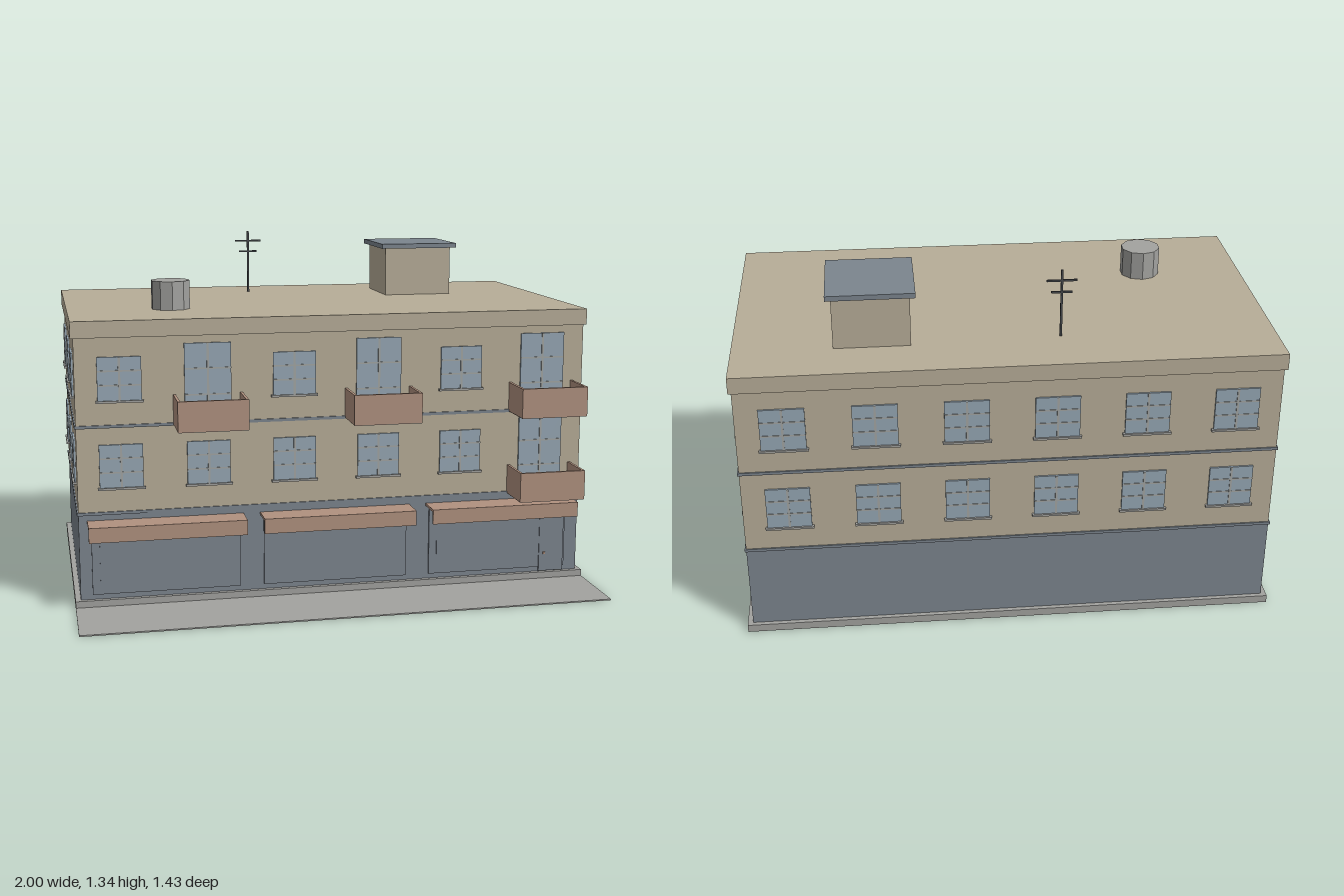
import * as THREE from 'three';

const mat = (name, color) => {
  const m = new THREE.MeshStandardMaterial({ color });
  m.name = name;
  return m;
};

export function createModel() {
  const wall = mat('sand plaster', 0xb7ad98);
  const slate = mat('slate blue', 0x7c858e);
  const concrete = mat('concrete', 0xa2a29f);
  const glass = mat('window glass', 0x96a7b4);
  const frame = mat('window frame', 0xa3a6a4);
  const brick = mat('terracotta', 0xb0917f);
  const metal = mat('dark metal', 0x45484c);

  const model = new THREE.Group();
  model.name = 'apartmentBuilding';

  // Box given by its lower and upper limits on each axis
  const box = (name, material, x0, x1, y0, y1, z0, z1, parent = model) => {
    const mesh = new THREE.Mesh(new THREE.BoxGeometry(x1 - x0, y1 - y0, z1 - z0), material);
    mesh.position.set((x0 + x1) / 2, (y0 + y1) / 2, (z0 + z1) / 2);
    mesh.name = name;
    parent.add(mesh);
    return mesh;
  };
  const group = (name, x = 0, y = 0, z = 0, turn = 0) => {
    const g = new THREE.Group();
    g.name = name;
    g.position.set(x, y, z);
    g.rotation.y = turn;
    model.add(g);
    return g;
  };

  // Main masses
  box('pavement', concrete, -1, 1, 0, 0.005, -0.715, 0.715);
  box('plinth', concrete, -1, 1, 0.005, 0.03, -0.715, 0.415);
  box('groundFloor', slate, -0.98, 0.98, 0.03, 0.355, -0.698, 0.398);
  box('upperFloors', wall, -0.98, 0.98, 0.355, 1.02, -0.698, 0.398);
  box('parapet', wall, -0.99, 0.99, 1.018, 1.08, -0.708, 0.406);
  for (const y of [0.355, 0.683])
    box('stringCourse', slate, -0.985, 0.985, y, y + 0.011, -0.703, 0.403);

  // Window or balcony door, standing on its base line and facing local +z
  const addWindow = (name, x, y, z, turn, w, h, sill) => {
    const g = group(name, x, y, z, turn);
    box('pane', glass, -w / 2, w / 2, 0, h, -0.002, 0.007, g);
    box('mullion', frame, -0.004, 0.004, 0, h, 0.007, 0.01, g);
    for (const t of [0.35, 0.68])
      box('glazingBar', frame, -w / 2, w / 2, h * t - 0.003, h * t + 0.003, 0.007, 0.009, g);
    if (sill) box('sill', concrete, -w / 2 - 0.007, w / 2 + 0.007, -0.008, 0, -0.002, 0.014, g);
  };

  // Upper storeys: front, back and both sides
  const columns = [-0.817, -0.491, -0.165, 0.161, 0.487, 0.813];
  const balconyColumns = [[5], [1, 3, 5]];
  [0.458, 0.785].forEach((y, floor) => {
    columns.forEach((x, i) => {
      if (balconyColumns[floor].includes(i)) {
        addWindow('balconyDoor', x, y - 0.092, 0.398, 0, 0.174, 0.297, false);
        addBalcony(x, y - 0.1);
      } else {
        addWindow('frontWindow', x, y, 0.398, 0, 0.162, 0.162, true);
      }
      addWindow('backWindow', x, y, -0.698, Math.PI, 0.162, 0.162, true);
    });
    for (const z of [0.213, -0.15, -0.515])
      for (const side of [-1, 1])
        addWindow('sideWindow', side * 0.98, y, z, side * Math.PI / 2, 0.146, 0.162, true);
  });

  // Open-topped balcony with solid parapets
  function addBalcony(x, y) {
    const g = group('balcony', x, y, 0.398);
    box('balconyFloor', concrete, -0.128, 0.128, 0, 0.012, 0, 0.157, g);
    box('balconyFront', brick, -0.13, 0.13, 0.002, 0.115, 0.147, 0.159, g);
    for (const s of [-1, 1])
      box('balconySide', brick, s * 0.125 - 0.005, s * 0.125 + 0.005, 0.002, 0.115, 0, 0.148, g);
  }
  box('balconyCrate', concrete, -0.445, -0.39, 0.697, 0.75, 0.422, 0.466);

  // Shopfronts with awnings
  for (const x of [-0.655, -0.005, 0.647]) {
    const g = group('shopfront', x, 0, 0.398);
    box('shopPanel', slate, -0.28, 0.28, 0.05, 0.31, 0, 0.008, g);
    box('shopWindow', slate, -0.25, 0.25, 0.1, 0.29, 0.008, 0.011, g);
    box('awningTop', brick, -0.293, 0.293, 0.324, 0.334, 0, 0.104, g);
    box('awningValance', brick, -0.293, 0.293, 0.277, 0.334, 0.096, 0.106, g);
  }
  box('shopDoor', slate, 0.82, 0.92, 0.035, 0.27, 0.405, 0.412);
  box('doorHandle', brick, 0.836, 0.844, 0.105, 0.113, 0.412, 0.417);

  // Stair house on the roof
  box('stairHouse', wall, 0.346, 0.626, 1.08, 1.277, -0.511, -0.229);
  box('stairHouseRoof', slate, 0.326, 0.646, 1.276, 1.295, -0.534, -0.208);

  // Water tank
  const tankShape = new THREE.CylinderGeometry(0.076, 0.076, 0.11, 10).toNonIndexed();
  tankShape.computeVertexNormals();
  const tank = new THREE.Mesh(tankShape, concrete);
  tank.name = 'waterTank';
  tank.position.set(-0.59, 1.135, 0.064);
  model.add(tank);

  // Aerial
  const aerial = group('aerial', -0.2, 1.08, -0.48);
  box('mast', metal, -0.004, 0.004, 0, 0.26, -0.004, 0.004, aerial);
  box('upperCrossbar', metal, -0.055, 0.055, 0.215, 0.222, -0.003, 0.003, aerial);
  box('lowerCrossbar', metal, -0.038, 0.038, 0.17, 0.177, -0.003, 0.003, aerial);

  return model;
}
